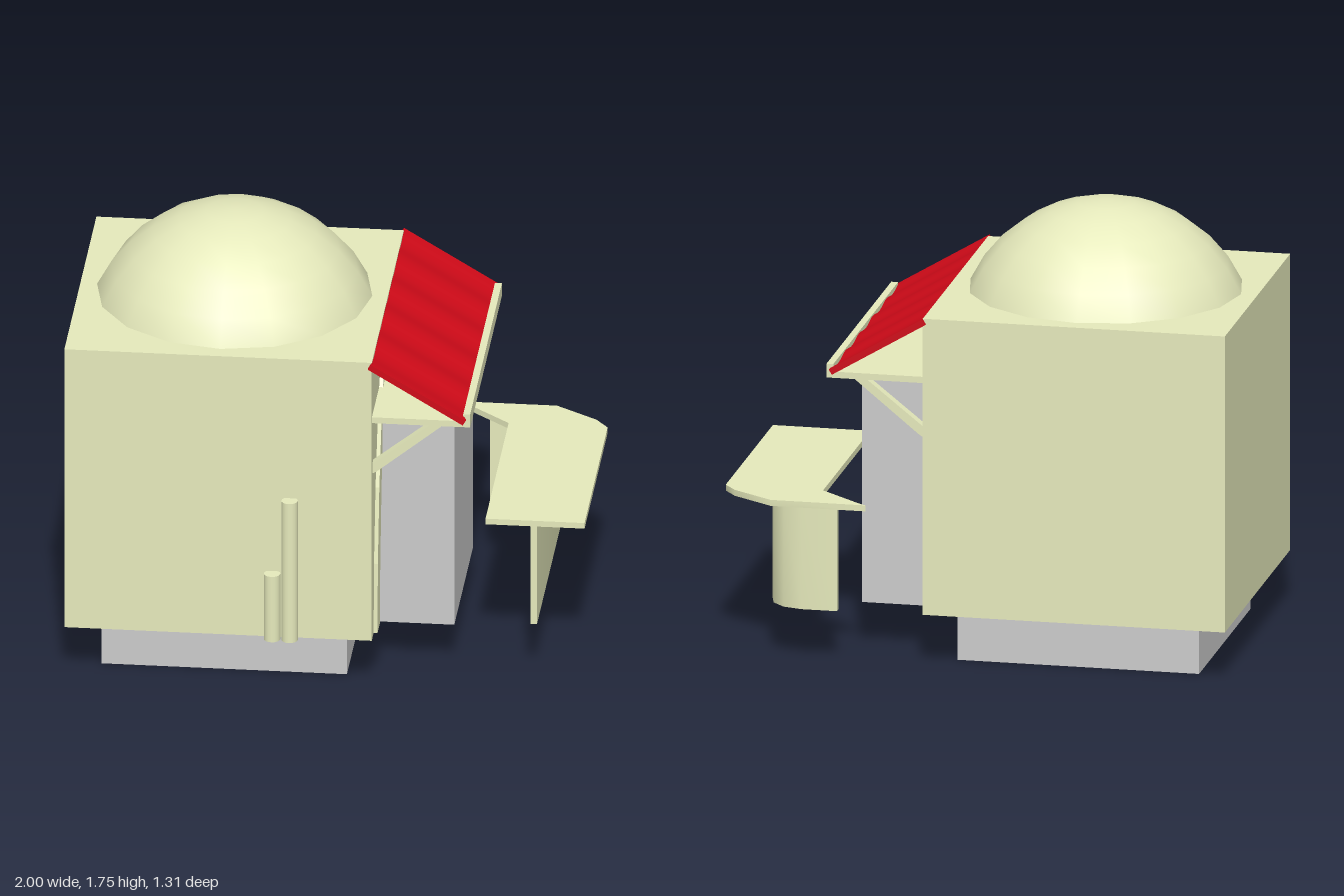
import * as THREE from 'three';
import { toCreasedNormals } from 'three/addons/utils/BufferGeometryUtils.js';

export function createModel() {
  const model = new THREE.Group();
  const cream = new THREE.MeshStandardMaterial({ color: 0xe6eabc });
  const creamOpen = new THREE.MeshStandardMaterial({ color: 0xe6eabc, side: THREE.DoubleSide });
  const grey = new THREE.MeshStandardMaterial({ color: 0xcccccc });
  const red = new THREE.MeshStandardMaterial({ color: 0xd00a18 });

  const add = (name, geometry, material) => {
    const mesh = new THREE.Mesh(geometry, material);
    mesh.name = name;
    model.add(mesh);
    return mesh;
  };
  // box given by its low and high corners
  const box = (name, [x0, y0, z0], [x1, y1, z1], material) =>
    add(name, new THREE.BoxGeometry(x1 - x0, y1 - y0, z1 - z0), material)
      .position.set((x0 + x1) / 2, (y0 + y1) / 2, (z0 + z1) / 2);
  const outline = (points) => new THREE.Shape(points.map(([x, y]) => new THREE.Vector2(x, y)));
  const extrude = (points, depth) =>
    new THREE.ExtrudeGeometry(outline(points), { depth, bevelEnabled: false });
  // plan outline in (x, z), pulled down from its top height
  const slab = (points, top, depth) =>
    toCreasedNormals(extrude(points, depth).rotateX(Math.PI / 2).translate(0, top, 0), 0.7);

  // main building, plinth and doorway block
  box('building', [-1, 0.21, -0.6], [0.195, 1.4, 0.6], cream);
  box('plinth', [-0.87, 0, -0.47], [0.085, 0.21, 0.47], grey);
  box('doorBlock', [0, 0.175, -0.35], [0.49, 1.095, 0.35], grey);

  // shallow dome: cap of a larger sphere
  const rim = 0.535, rise = 0.35;
  const radius = (rim * rim + rise * rise) / (2 * rise);
  add('dome', new THREE.SphereGeometry(radius, 16, 6, 0, Math.PI * 2, 0, Math.asin(rim / radius)), creamOpen)
    .position.set(-0.4, 1.75 - radius, 0);

  // raised arch band around the doorway
  const outer = [[0.53, 0.21], [0.515, 0.5], [0.46, 0.8], [0.35, 1.13], [0.2, 1.32]];
  const inner = [[0.44, 0.21], [0.425, 0.45], [0.38, 0.75], [0.34, 0.92], [0.25, 1.13], [0.14, 1.24]];
  const mirror = (points) => points.map(([x, y]) => [-x, y]).reverse();
  const band = [...outer, ...mirror(outer), ...inner.map(([x, y]) => [-x, y]), ...inner.slice().reverse()];
  add('doorArch', extrude(band, 0.02).rotateY(Math.PI / 2).translate(0.19, 0, 0), cream);

  // gently rippled awning with side rails
  const awning = new THREE.Group();
  awning.name = 'awning';
  awning.position.set(0.372, 1.28, 0);
  awning.rotation.z = -0.54;
  const sheet = new THREE.BoxGeometry(0.42, 0.014, 1.23, 1, 1, 50);
  const p = sheet.attributes.position;
  for (let i = 0; i < p.count; i++) {
    p.setY(i, p.getY(i) - 0.006 * Math.cos(p.getZ(i) * Math.PI * 8));
  }
  sheet.computeVertexNormals();
  const cover = new THREE.Mesh(sheet, red);
  cover.name = 'awningSheet';
  awning.add(cover);
  for (const side of [-1, 1]) {
    const rail = new THREE.Mesh(new THREE.BoxGeometry(0.43, 0.024, 0.015), red);
    rail.name = 'awningRail';
    rail.position.z = side * 0.613;
    awning.add(rail);
  }
  model.add(awning);

  // canopy shelf with raised lip
  box('canopyShelf', [0.19, 1.14, -0.595], [0.56, 1.165, 0.595], cream);
  box('canopyLip', [0.55, 1.14, -0.595], [0.577, 1.195, 0.595], cream);

  // diagonal canopy struts
  const strut = [[0.19, 0.915], [0.21, 0.925], [0.48, 1.145], [0.43, 1.145], [0.19, 0.955]];
  for (const z of [-0.58, 0.54]) {
    add('canopyStrut', extrude(strut, 0.04).translate(0, 0, z), cream);
  }

  // two pipes on the side wall
  for (const [x, top] of [[-0.122, 0.805], [-0.19, 0.49]]) {
    add('pipe', new THREE.CylinderGeometry(0.032, 0.032, top - 0.21, 16), cream)
      .position.set(x, (top + 0.21) / 2, 0.622);
  }

  // serving counter: top plate and panel that bends round at one end
  const plate = [[0.615, 0.385], [1, 0.385], [1, -0.48], [0.95, -0.545], [0.785, -0.655],
    [0.41, -0.655], [0.455, -0.62], [0.615, -0.48]];
  add('counterTop', slab(plate, 0.652, 0.024), cream);
  const panel = [[0.79, 0.385], [0.815, 0.385], [0.815, -0.48], [0.795, -0.55], [0.745, -0.6], [0.67, -0.62],
    [0.53, -0.62], [0.53, -0.595], [0.665, -0.595], [0.73, -0.58], [0.775, -0.535], [0.79, -0.475]];
  add('counterPanel', slab(panel, 0.63, 0.42), cream);

  return model;
}
